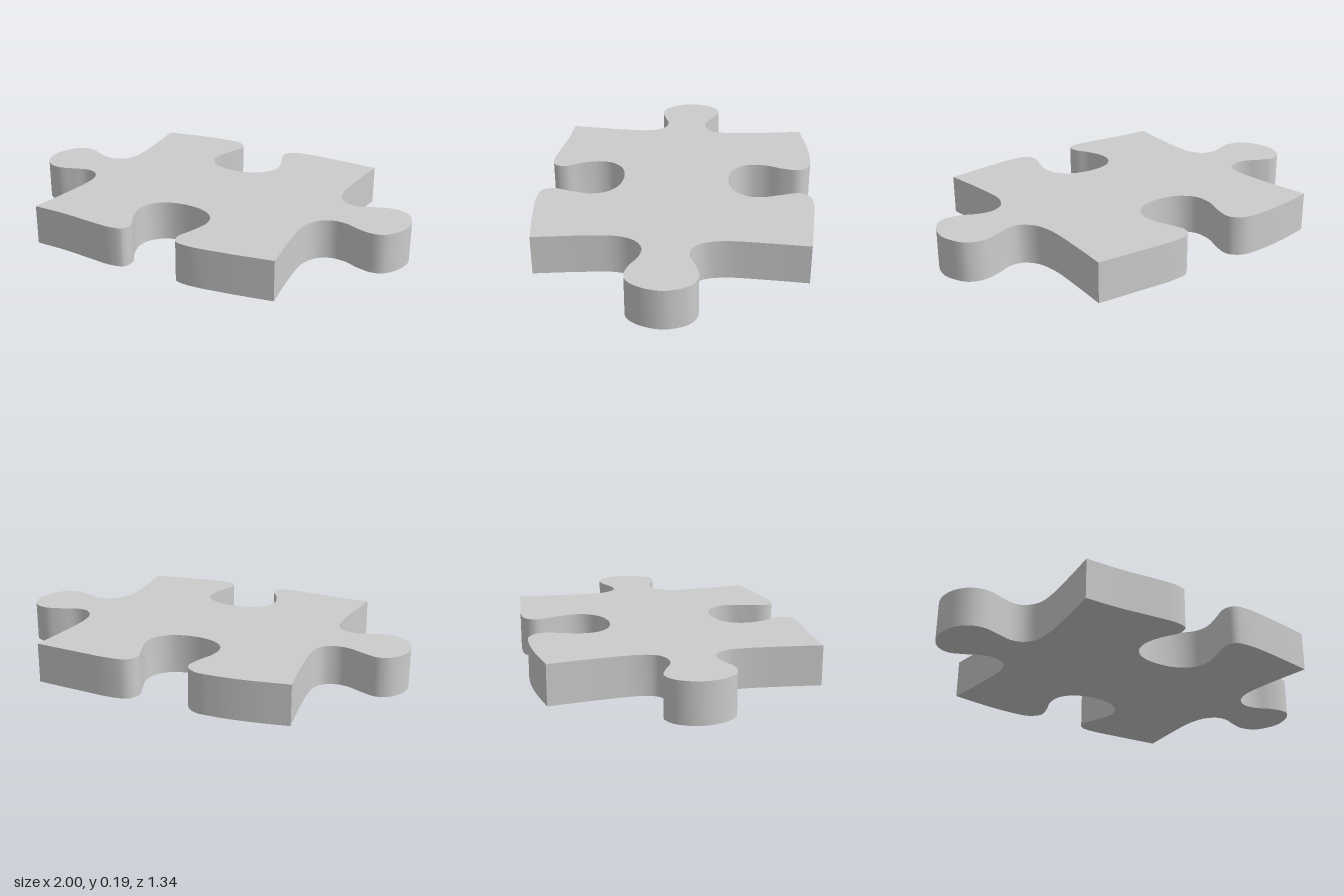
import * as THREE from 'three';
import { toCreasedNormals } from 'three/addons/utils/BufferGeometryUtils.js';

const THICKNESS = 0.19;

// Each edge is a smooth curve through [x, z] points, running from corner to corner.
const backEdge = [
  [-0.635, -0.63], [-0.45, -0.66], [-0.3, -0.67], [-0.2, -0.66], [-0.15, -0.61], [-0.16, -0.53],
  [-0.195, -0.43], [-0.19, -0.34], [-0.13, -0.275], [-0.02, -0.25], [0.09, -0.275], [0.15, -0.34],
  [0.16, -0.41], [0.13, -0.51], [0.105, -0.595], [0.135, -0.645], [0.21, -0.66], [0.4, -0.648], [0.61, -0.63],
];
const rightEdge = [
  [0.61, -0.63], [0.595, -0.45], [0.587, -0.25], [0.61, -0.155], [0.66, -0.105], [0.72, -0.1],
  [0.8, -0.13], [0.88, -0.147], [0.95, -0.12], [0.99, -0.05], [1, 0.01], [0.975, 0.1], [0.93, 0.155],
  [0.88, 0.168], [0.81, 0.152], [0.74, 0.12], [0.67, 0.115], [0.61, 0.15], [0.575, 0.23], [0.58, 0.38], [0.61, 0.62],
];
const frontEdge = [
  [0.61, 0.62], [0.4, 0.65], [0.22, 0.665], [0.15, 0.65], [0.13, 0.6], [0.155, 0.51], [0.175, 0.42],
  [0.155, 0.345], [0.09, 0.29], [-0.02, 0.27], [-0.12, 0.293], [-0.175, 0.35], [-0.187, 0.42],
  [-0.16, 0.51], [-0.12, 0.585], [-0.13, 0.64], [-0.19, 0.657], [-0.3, 0.648], [-0.47, 0.627], [-0.635, 0.62],
];
const leftEdge = [
  [-0.635, 0.62], [-0.615, 0.45], [-0.6, 0.25], [-0.61, 0.17], [-0.65, 0.115], [-0.71, 0.1],
  [-0.78, 0.12], [-0.86, 0.14], [-0.93, 0.12], [-0.98, 0.06], [-1, -0.02], [-0.985, -0.1], [-0.94, -0.16],
  [-0.885, -0.178], [-0.82, -0.155], [-0.74, -0.115], [-0.68, -0.11], [-0.62, -0.14], [-0.595, -0.21],
  [-0.605, -0.4], [-0.635, -0.63],
];

// Samples an edge; the last point is dropped because the next edge starts there.
function sampleEdge(points) {
  const curve = new THREE.CatmullRomCurve3(points.map(([x, z]) => new THREE.Vector3(x, -z, 0)));
  return curve.getPoints((points.length - 1) * 5).slice(0, -1).map((p) => new THREE.Vector2(p.x, p.y));
}

export function createModel() {
  const group = new THREE.Group();
  group.name = 'puzzlePiece';

  // Outline with two side tabs and two sockets, extruded upwards with sharp rims
  const outline = new THREE.Shape([backEdge, rightEdge, frontEdge, leftEdge].flatMap(sampleEdge));
  const extruded = new THREE.ExtrudeGeometry(outline, { depth: THICKNESS, bevelEnabled: false });
  extruded.rotateX(-Math.PI / 2);

  const body = new THREE.Mesh(
    toCreasedNormals(extruded, Math.PI / 6),
    new THREE.MeshStandardMaterial({ color: 0xcccccc }),
  );
  body.name = 'puzzleBody';
  group.add(body);
  return group;
}
